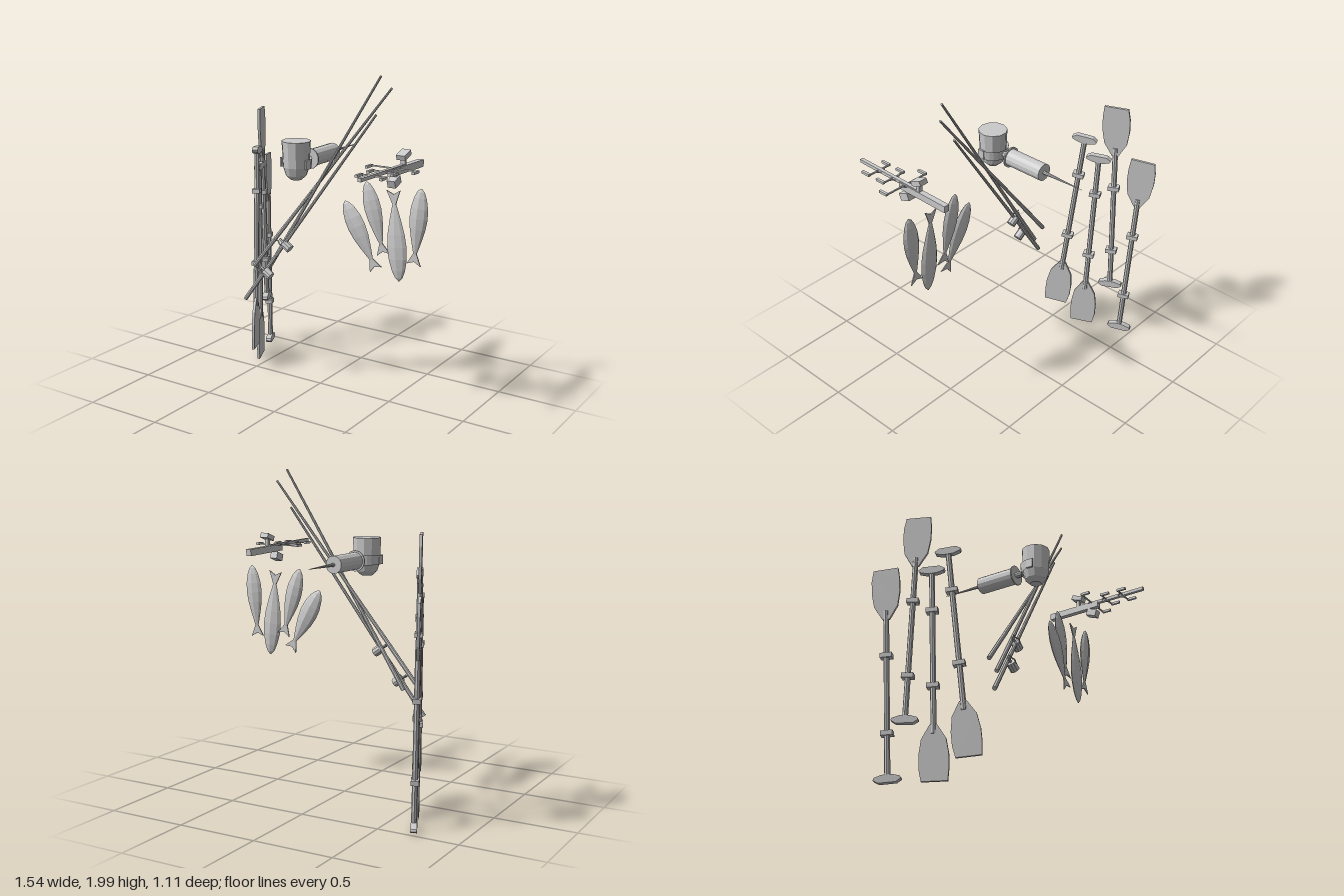
import * as THREE from 'three';

const V = (x, y, z) => new THREE.Vector3(x, y, z);
const flat = new THREE.MeshStandardMaterial({ color: 0xcccccc, flatShading: true, side: THREE.DoubleSide });

function add(parent, name, geo, x = 0, y = 0, z = 0, rx = 0, ry = 0, rz = 0) {
  const m = new THREE.Mesh(geo, flat);
  m.name = name;
  m.position.set(x, y, z);
  m.rotation.set(rx, ry, rz);
  parent.add(m);
  return m;
}

// Stand an object at "from" with its y axis toward "to" and its x axis near "side"
function aim(obj, from, to, side) {
  const y = to.clone().sub(from).normalize();
  const z = side.clone().cross(y).normalize();
  const x = y.clone().cross(z);
  obj.quaternion.setFromRotationMatrix(new THREE.Matrix4().makeBasis(x, y, z));
  obj.position.copy(from);
}

// Round bar between two points
function bar(parent, name, a, b, r0, r1 = r0, sides = 6) {
  const len = a.distanceTo(b);
  const m = add(parent, name, new THREE.CylinderGeometry(r1, r0, len, sides).translate(0, len / 2, 0));
  m.quaternion.setFromUnitVectors(V(0, 1, 0), b.clone().sub(a).normalize());
  m.position.copy(a);
}

// Flat plate cut from an outline, centred on z = 0
function plate(points, depth) {
  const shape = new THREE.Shape(points.map(p => new THREE.Vector2(...p)));
  return new THREE.ExtrudeGeometry(shape, { depth, bevelEnabled: false }).translate(0, 0, -depth / 2);
}

function makeOar() {
  const g = new THREE.Group();
  g.name = 'oar';
  add(g, 'shaft', new THREE.CylinderGeometry(0.017, 0.017, 1.02, 8), 0, 0.53, 0);
  add(g, 'handleGrip', plate([[-0.05, 0], [0.05, 0], [0.078, 0.018], [0.072, 0.032], [0.03, 0.045],
    [-0.03, 0.045], [-0.072, 0.032], [-0.078, 0.018]], 0.036));
  for (const y of [0.285, 0.755]) add(g, 'collar', new THREE.BoxGeometry(0.07, 0.028, 0.046), 0, y, 0);
  add(g, 'blade', plate([[-0.02, 0.985], [0.02, 0.985], [0.07, 1.07], [0.084, 1.16], [0.084, 1.24], [0.076, 1.316],
    [-0.072, 1.31], [-0.084, 1.24], [-0.084, 1.16], [-0.07, 1.07]], 0.016));
  return g;
}

// Fish with a lens-shaped body, head at y = 0 and forked tail at y = length
function makeFish(length, width) {
  const g = new THREE.Group();
  g.name = 'fish';
  const sections = [[0, 0.06], [0.04, 0.4], [0.12, 0.7], [0.25, 0.95], [0.38, 1], [0.52, 0.88],
    [0.66, 0.62], [0.78, 0.36], [0.88, 0.12]];
  const body = new THREE.CylinderGeometry(1, 1, 1, 8, sections.length - 1);
  const p = body.attributes.position;
  for (let i = 0; i < p.count; i++) {
    const [t, w] = sections[Math.round((p.getY(i) + 0.5) * (sections.length - 1))];
    const x = p.getZ(i), z = p.getX(i);
    p.setXYZ(i, -x * w * width / 2, t * length, z * (1 - 0.3 * Math.abs(x)) * w * 0.027);
  }
  add(g, 'body', body);
  add(g, 'tail', plate([[-0.009, 0.84], [0.009, 0.84], [0.045, 1], [0, 0.955], [-0.045, 1]]
    .map(([x, t]) => [x, t * length]), 0.007));
  return g;
}

export function createModel() {
  const model = new THREE.Group();
  model.name = 'fishingGear';

  // Oars leaning in one slanted plane, listed handle end then blade end
  const oars = [
    [V(-0.66, 0.36, -0.345), V(-0.662, 1.68, -0.31)],
    [V(-0.69, 0.022, -0.42), V(-0.738, 1.35, -0.48)],
    [V(-0.622, 1.328, -0.227), V(-0.594, 0.01, -0.177)],
    [V(-0.577, 1.455, -0.148), V(-0.513, 0.14, -0.01)],
  ];
  for (const [a, b] of oars) {
    const oar = makeOar();
    aim(oar, a, b, V(0.41, 0, 0.91));
    model.add(oar);
  }

  // Three tapered rods, two of them with reels
  const rods = [
    [V(-0.45, 0.74, 0.07), V(0.49, 1.93, 0.015)],
    [V(-0.48, 0.53, 0.13), V(0.39, 1.77, 0.015), V(-0.3, 0.73, 0.135)],
    [V(-0.37, 0.69, 0.07), V(0.44, 2.0, 0.05), V(-0.185, 0.915, 0.09)],
  ];
  for (const [a, b, r] of rods) {
    const rod = new THREE.Group();
    rod.name = 'fishingRod';
    model.add(rod);
    const grip = a.clone().lerp(b, 0.25);
    bar(rod, 'grip', a, grip, 0.014, 0.013, 8);
    bar(rod, 'pole', grip, b, 0.012, 0.007, 8);
    if (!r) continue;
    const across = V(0.82, -0.57, 0), half = across.clone().multiplyScalar(0.028);
    bar(rod, 'reelDrum', r.clone().sub(half), r.clone().add(half), 0.028, 0.028, 10);
    bar(rod, 'reelFoot', r.clone().addScaledVector(across, -0.065), r, 0.008);
    const crank = new THREE.CatmullRomCurve3([[0, 0, 0.02], [-0.035, 0.02, 0.035], [-0.05, 0.03, 0.02],
      [-0.075, 0.035, 0.022]].map(q => V(...q).add(r)));
    add(rod, 'reelCrank', new THREE.TubeGeometry(crank, 10, 0.004, 5));
  }

  // Lantern cup held in a half ring on a spiked holder
  const holder = new THREE.Group();
  holder.name = 'cupHolder';
  holder.position.set(-0.07, 0, 0.152);
  model.add(holder);
  const cup = [[0, 1.36], [0.035, 1.363], [0.064, 1.39], [0.08, 1.44], [0.087, 1.595], [0, 1.595]];
  add(holder, 'cup', new THREE.LatheGeometry(cup.map(q => new THREE.Vector2(...q)), 11));
  add(holder, 'cradleRing', new THREE.CylinderGeometry(0.095, 0.09, 0.06, 12, 1, true, Math.PI / 2, Math.PI),
    0, 1.462, 0);
  for (const s of [-1, 1]) add(holder, 'cradleEar', new THREE.BoxGeometry(0.012, 0.055, 0.045), s * 0.089, 1.462, 0.01);
  const along = (name, z0, z1, r0, r1, n) => bar(holder, name, V(0, 1.463, z0 - 0.152), V(0, 1.463, z1 - 0.152), r0, r1, n);
  along('stem', 0.07, -0.02, 0.019, 0.019, 8);
  along('flange', 0.012, 0.004, 0.064, 0.064, 14);
  along('handle', 0.01, -0.25, 0.053, 0.053, 14);
  along('spike', -0.25, -0.53, 0.011, 0.001, 8);

  // Hanging rack with pronged crossbars
  const rack = new THREE.Group();
  rack.name = 'rack';
  rack.position.set(0.608, 0, 0);
  model.add(rack);
  add(rack, 'frontBeam', new THREE.BoxGeometry(0.022, 0.02, 0.49), 0, 1.517, 0.31, -0.02);
  add(rack, 'rearBeam', new THREE.BoxGeometry(0.034, 0.042, 0.36), 0, 1.495, 0.045, -0.02);
  add(rack, 'upperBlock', new THREE.BoxGeometry(0.056, 0.03, 0.075), 0, 1.575, 0.075, 0.35);
  add(rack, 'upperPost', new THREE.BoxGeometry(0.026, 0.06, 0.02), 0, 1.535, 0.075);
  add(rack, 'lowerBlock', new THREE.BoxGeometry(0.05, 0.045, 0.07), 0, 1.442, 0.18, 0.35);
  add(rack, 'lowerPost', new THREE.BoxGeometry(0.026, 0.06, 0.02), 0, 1.48, 0.165);
  for (const [z, half] of [[0.18, 0.148], [0.285, 0.076], [0.405, 0.076]]) {
    add(rack, 'crossbar', new THREE.BoxGeometry(half * 2, 0.008, 0.008), 0, 1.516, z);
    for (const s of [-1, 1]) {
      add(rack, 'prong', new THREE.BoxGeometry(0.016, 0.015, 0.06), s * half, 1.516, z + 0.027);
      bar(rack, 'brace', V(0, 1.516, z - 0.035), V(s * 0.04, 1.516, z), 0.0035);
    }
  }

  // Fish, listed head then tail with body width
  const fish = [
    [V(0.222, 1.255, 0.075), V(0.436, 0.868, 0.07), 0.125],
    [V(0.355, 1.385, 0.055), V(0.475, 0.96, 0.05), 0.115],
    [V(0.588, 0.822, 0.065), V(0.541, 1.36, 0.065), 0.128],
    [V(0.718, 1.39, 0.06), V(0.68, 0.935, 0.06), 0.115],
  ];
  for (const [head, tail, width] of fish) {
    const f = makeFish(head.distanceTo(tail), width);
    aim(f, head, tail, V(1, 0, 0));
    model.add(f);
  }
  return model;
}
